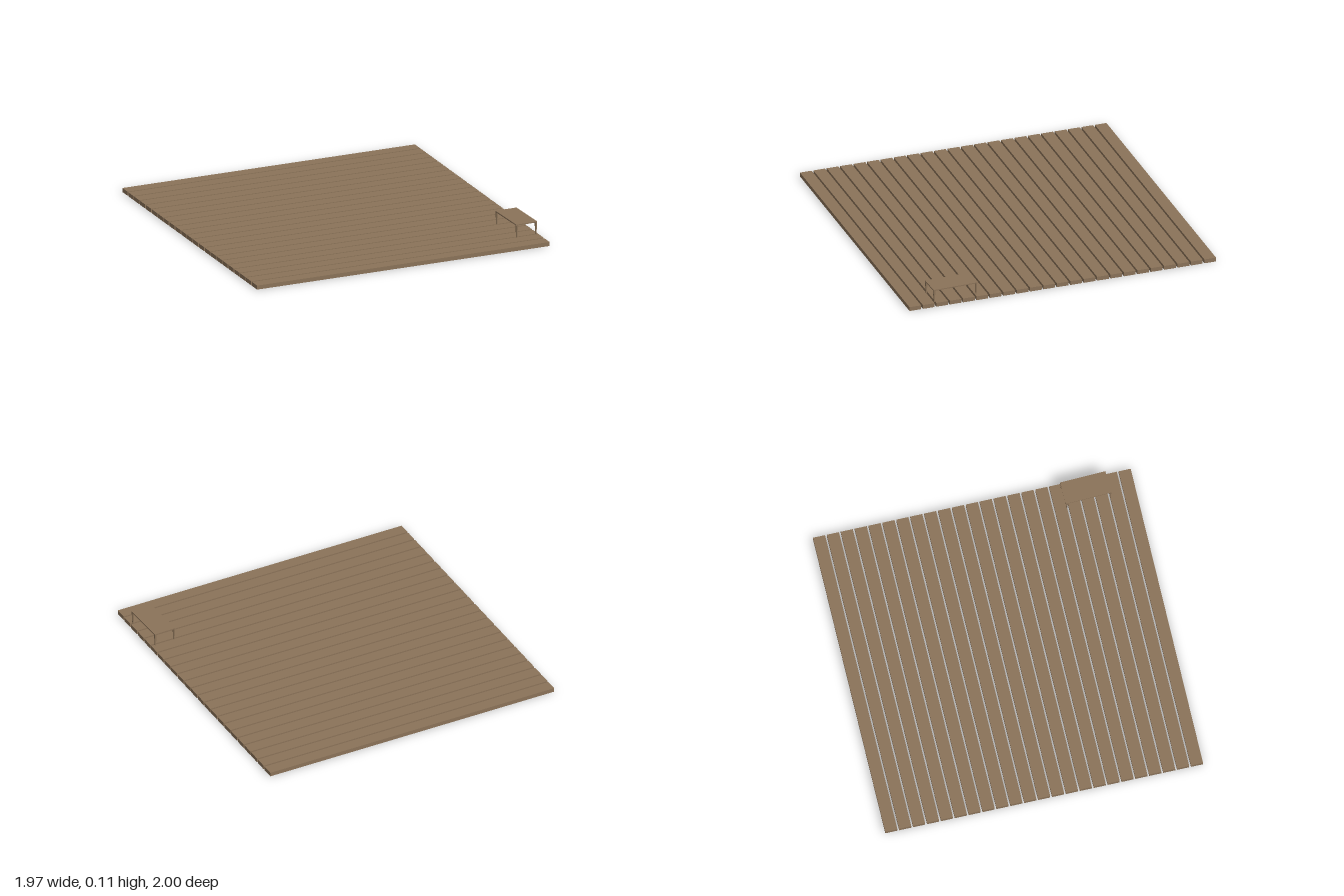
import * as THREE from 'three';

export function createModel() {
  const model = new THREE.Group();
  model.name = 'deckWithTable';
  const wood = new THREE.MeshStandardMaterial({ color: 0x8b7359 });
  wood.name = 'brown wood';

  const add = (parent, name, geometry, x, y, z) => {
    const mesh = new THREE.Mesh(geometry, wood);
    mesh.name = name;
    mesh.position.set(x, y, z);
    parent.add(mesh);
    return mesh;
  };

  // deck: a row of separate planks
  const count = 23, thick = 0.026, plankDepth = 0.076;
  const pitch = (2 - plankDepth) / (count - 1);
  const deck = new THREE.Group();
  deck.name = 'deck';
  const plank = new THREE.BoxGeometry(1.97, thick, plankDepth);
  for (let i = 0; i < count; i++) {
    add(deck, 'plank', plank, 0, thick / 2, -1 + plankDepth / 2 + i * pitch);
  }
  model.add(deck);

  // low table, turned slightly on the deck
  const table = new THREE.Group();
  table.name = 'table';
  table.position.set(0.898, thick, 0.697);
  table.rotation.y = 0.033;
  const width = 0.143, length = 0.288, height = 0.085, slab = 0.007;
  add(table, 'tableTop', new THREE.BoxGeometry(width, slab, length), 0, height - slab / 2, 0);

  // tapered square legs whose outer faces lean inward to the foot
  const legHeight = height - slab, legTop = 0.012, legFoot = 0.006;
  for (const sx of [-1, 1]) {
    for (const sz of [-1, 1]) {
      const leg = new THREE.BoxGeometry(legTop, legHeight, legTop);
      const p = leg.attributes.position;
      for (let i = 0; i < p.count; i++) {
        if (p.getY(i) > 0) continue;
        p.setX(i, p.getX(i) * legFoot / legTop);
        p.setZ(i, p.getZ(i) * legFoot / legTop);
      }
      leg.computeVertexNormals();
      add(table, 'tableLeg', leg, sx * (width - legTop) / 2, legHeight / 2, sz * (length - legTop) / 2);
    }
  }
  model.add(table);
  return model;
}
